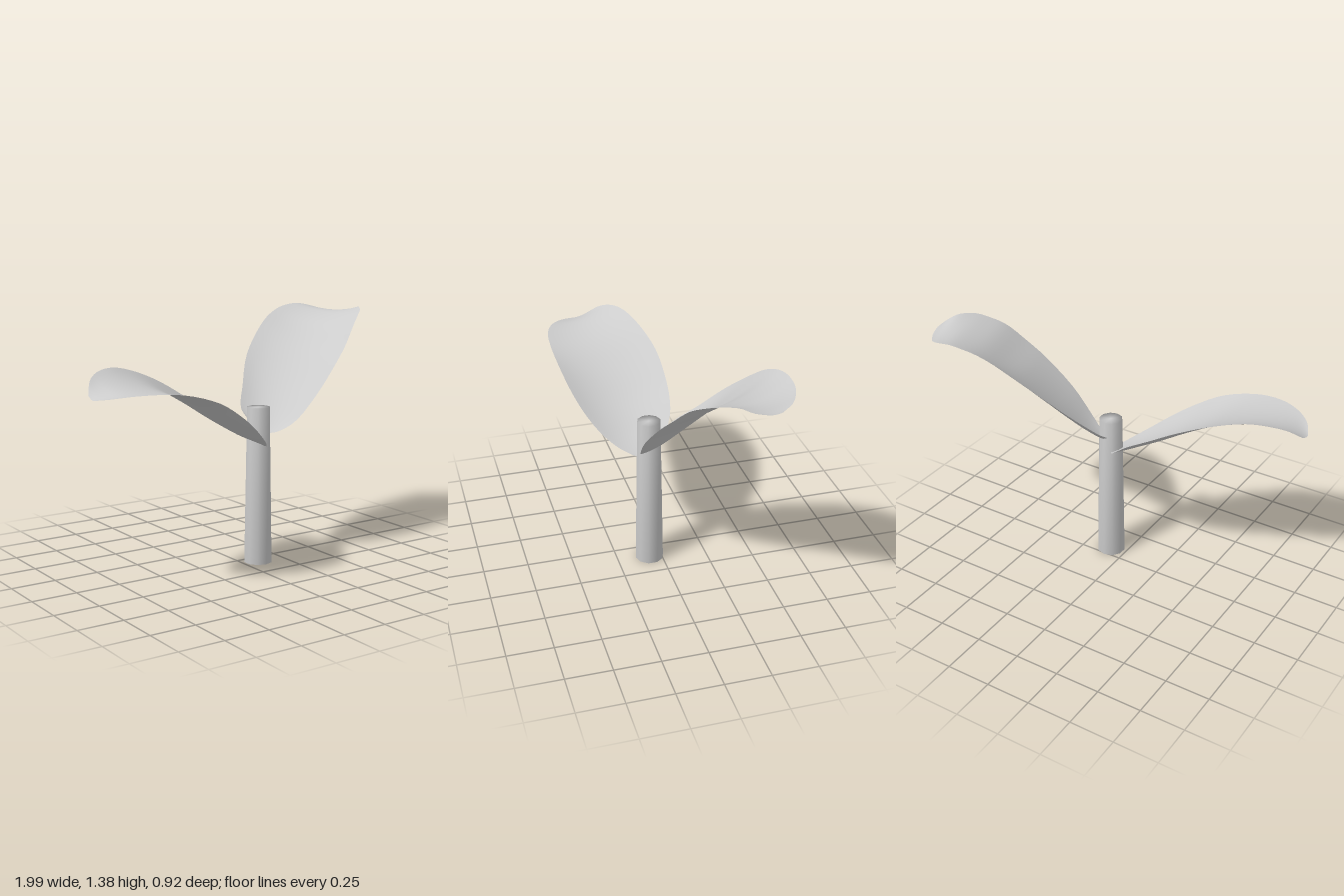
import * as THREE from 'three';
import { mergeVertices } from 'three/addons/utils/BufferGeometryUtils.js';

// Smooth trough lofted along stations of [front rim, keel, back rim]
function leafGeometry(stations, flip) {
  const [front, keel, back] = [0, 1, 2].map((c) =>
    new THREE.CatmullRomCurve3(stations.map((s) => new THREE.Vector3(...s[c]))));
  const rows = 36, cols = 12, positions = [], index = [];
  for (let i = 0; i <= rows; i++) {
    const v = i / rows;
    const a = front.getPoint(v), k = keel.getPoint(v), b = back.getPoint(v);
    for (let j = 0; j <= cols; j++) {
      // Parabola through the three points of the section
      const u = j / cols;
      const p = new THREE.Vector3()
        .addScaledVector(a, (1 - u) * (1 - 2 * u))
        .addScaledVector(k, 4 * u * (1 - u))
        .addScaledVector(b, u * (2 * u - 1));
      positions.push(p.x, p.y, p.z);
      if (i < rows && j < cols) {
        const m = i * (cols + 1) + j, n = m + cols + 1;
        if (flip) index.push(m, m + 1, n, m + 1, n + 1, n);
        else index.push(m, n, m + 1, m + 1, n, n + 1);
      }
    }
  }
  const g = new THREE.BufferGeometry();
  g.setAttribute('position', new THREE.Float32BufferAttribute(positions, 3));
  g.setIndex(index);
  g.computeVertexNormals();
  return g;
}

export function createModel() {
  const group = new THREE.Group();
  const grey = new THREE.MeshStandardMaterial({ color: 0xcccccc, side: THREE.DoubleSide });
  grey.name = 'light grey';
  const add = (name, geometry) => {
    const mesh = new THREE.Mesh(geometry, grey);
    mesh.name = name;
    group.add(mesh);
    return mesh;
  };

  // Tapered stem, shaded smoothly over its ends
  let stem = new THREE.CylinderGeometry(0.065, 0.08, 0.875, 10);
  stem.deleteAttribute('normal');
  stem.deleteAttribute('uv');
  stem = mergeVertices(stem);
  stem.computeVertexNormals();
  add('stem', stem).position.set(0.095, 0.4375, 0.067);

  // Taller leaf, rising to the model's left
  add('leftLeaf', leafGeometry([
    [[0.14, 0.73, 0.1], [0.11, 0.74, 0.05], [0.08, 0.79, 0]],
    [[0.18, 0.735, 0.12], [0.14, 0.765, 0.02], [0.08, 0.85, -0.08]],
    [[0.27, 0.785, 0.16], [0.22, 0.82, -0.01], [0.16, 0.96, -0.18]],
    [[0.41, 0.925, 0.175], [0.35, 0.955, -0.07], [0.27, 1.11, -0.3]],
    [[0.58, 1.095, 0.14], [0.51, 1.12, -0.135], [0.42, 1.25, -0.39]],
    [[0.67, 1.18, 0.105], [0.61, 1.205, -0.18], [0.51, 1.315, -0.425]],
    [[0.77, 1.28, 0.05], [0.7, 1.28, -0.22], [0.6, 1.355, -0.448]],
    [[0.84, 1.325, 0], [0.78, 1.32, -0.25], [0.67, 1.37, -0.46]],
    [[0.9, 1.355, -0.05], [0.85, 1.34, -0.27], [0.75, 1.375, -0.462]],
    [[0.955, 1.368, -0.13], [0.91, 1.34, -0.3], [0.83, 1.362, -0.455]],
    [[0.988, 1.35, -0.19], [0.96, 1.33, -0.3], [0.91, 1.337, -0.415]],
    [[0.998, 1.335, -0.26], [0.988, 1.328, -0.3], [0.97, 1.325, -0.34]],
  ], false));

  // Lower leaf, spreading to the model's right
  add('rightLeaf', leafGeometry([
    [[0.09, 0.67, 0.15], [0.09, 0.67, 0.1], [0.07, 0.69, 0.03]],
    [[0.04, 0.7, 0.22], [0.05, 0.69, 0.1], [0.03, 0.72, -0.03]],
    [[-0.04, 0.755, 0.296], [-0.05, 0.735, 0.1], [-0.055, 0.8, -0.093]],
    [[-0.14, 0.83, 0.36], [-0.135, 0.78, 0.12], [-0.13, 0.86, -0.115]],
    [[-0.25, 0.905, 0.405], [-0.25, 0.845, 0.14], [-0.25, 0.935, -0.125]],
    [[-0.4, 0.99, 0.44], [-0.405, 0.94, 0.16], [-0.42, 1.035, -0.115]],
    [[-0.6, 1.05, 0.455], [-0.6, 1.04, 0.185], [-0.6, 1.11, -0.07]],
    [[-0.75, 1.065, 0.44], [-0.75, 1.07, 0.2], [-0.76, 1.148, -0.015]],
    [[-0.87, 1.06, 0.39], [-0.87, 1.07, 0.21], [-0.87, 1.14, 0.035]],
    [[-0.95, 1.045, 0.32], [-0.95, 1.05, 0.21], [-0.94, 1.11, 0.09]],
    [[-0.995, 1.03, 0.23], [-0.995, 1.035, 0.2], [-0.99, 1.05, 0.165]],
  ], true));

  return group;
}
